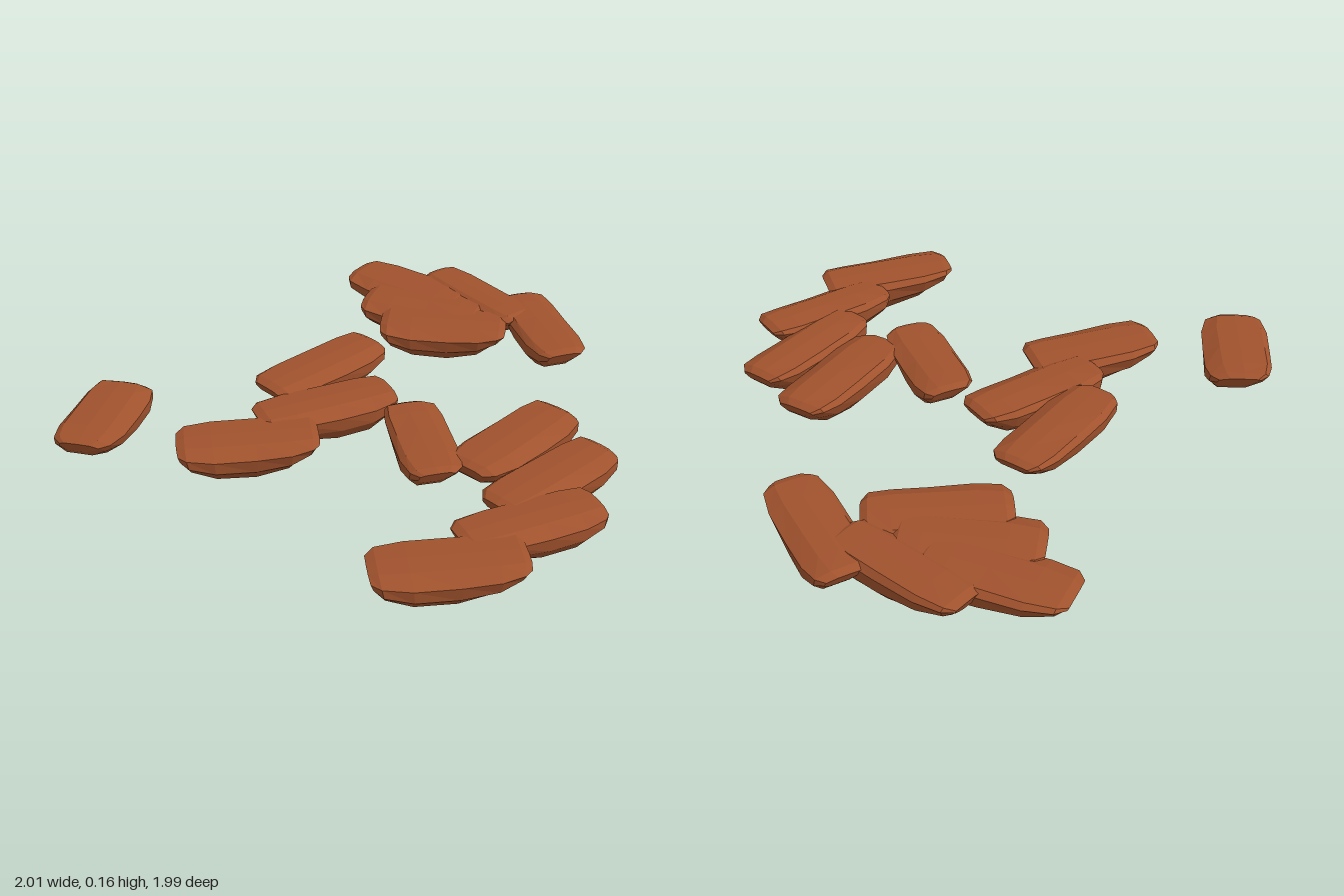
import * as THREE from 'three';

// Cross-section of a stone: [across, height fraction], running over the top towards +z
const SECTION = [
  [-0.82, 0.95], [-0.1, 1], [0.5, 0.98], [0.97, 0.78], [0.9, 0.42],
  [0.45, 0], [-0.45, 0], [-0.9, 0.42], [-0.99, 0.8],
];

// Stations along a stone: [position, half width, bottom, top]
const STATIONS = [
  [-1, 0.58, 0.58, 0.9],
  [-0.88, 0.85, 0.38, 0.98],
  [-0.5, 1, 0.12, 1],
  [0.1, 1, 0, 1],
  [0.6, 0.98, 0.1, 1],
  [0.9, 0.85, 0.4, 0.98],
  [1, 0.6, 0.58, 0.88],
];

// Axis start x, z, axis end x, z, width, underside skew, bottom y, top y
const STONES = [
  [-0.94, -0.23, -0.67, -0.54, 0.24, 1, 0.03, 0.155],
  [-0.65, -0.12, -0.2, 0.04, 0.25, -1, 0, 0.14],
  [-0.35, -0.13, 0.15, -0.1, 0.22, 1, 0.005, 0.145],
  [-0.25, -0.27, 0.24, -0.41, 0.22, 1, 0.03, 0.155],
  [0.03, 0.46, 0.14, 0.03, 0.21, 1, 0.03, 0.155],
  [0.13, 0.46, 0.6, 0.29, 0.23, 1, 0.005, 0.145],
  [0.11, 0.67, 0.6, 0.54, 0.21, 1, 0, 0.14],
  [-0.08, 0.76, 0.41, 0.79, 0.21, 1, 0.005, 0.14],
  [-0.39, 0.75, 0.07, 0.92, 0.24, -1, 0, 0.14],
  [0.47, -0.97, 0.69, -0.53, 0.24, -1, 0.02, 0.14],
  [0.39, -0.75, 0.71, -0.41, 0.25, -1, 0.01, 0.14],
  [0.35, -0.55, 0.74, -0.28, 0.25, -1, 0.005, 0.14],
  [0.73, -0.8, 0.82, -0.31, 0.2, -1, 0.01, 0.145],
  [0.83, 0, 0.92, -0.49, 0.22, 1, 0.01, 0.14],
];

// Lofts the section through the stations along x; the underside twists by skew
function stoneGeometry(length, width, height, skew) {
  const n = SECTION.length;
  const positions = [];
  const index = [];
  STATIONS.forEach(([s, w, low, high]) => {
    SECTION.forEach(([u, v]) => {
      const twist = skew * s * 0.03 * (1 - v);
      const overhang = 1 - 0.08 * (1 - v);
      positions.push(
        s * length / 2 * overhang,
        (low + (high - low) * v) * height,
        u * w * width / 2 + twist,
      );
    });
  });
  for (let i = 0; i < STATIONS.length - 1; i++) {
    for (let j = 0; j < n; j++) {
      const k = (j + 1) % n;
      const a = i * n + j, b = i * n + k, c = b + n, d = a + n;
      index.push(a, b, c, a, c, d);
    }
  }
  // End faces
  const last = (STATIONS.length - 1) * n;
  for (let j = 1; j < n - 1; j++) {
    index.push(0, j + 1, j, last, last + j, last + j + 1);
  }
  const indexed = new THREE.BufferGeometry();
  indexed.setAttribute('position', new THREE.Float32BufferAttribute(positions, 3));
  indexed.setIndex(index);
  const geometry = indexed.toNonIndexed();
  geometry.computeVertexNormals();
  return geometry;
}

export function createModel() {
  const group = new THREE.Group();
  group.name = 'steppingStones';
  const material = new THREE.MeshStandardMaterial({ color: 0xa0522d });
  material.name = 'reddish brown';
  material.flatShading = true;

  STONES.forEach(([x0, z0, x1, z1, width, skew, bottom, top], i) => {
    const dx = x1 - x0, dz = z1 - z0;
    const geometry = stoneGeometry(Math.hypot(dx, dz), width, top - bottom, skew);
    const stone = new THREE.Mesh(geometry, material);
    stone.name = `stone${i + 1}`;
    stone.position.set((x0 + x1) / 2, bottom, (z0 + z1) / 2);
    stone.rotation.y = Math.atan2(-dz, dx);
    group.add(stone);
  });
  return group;
}
